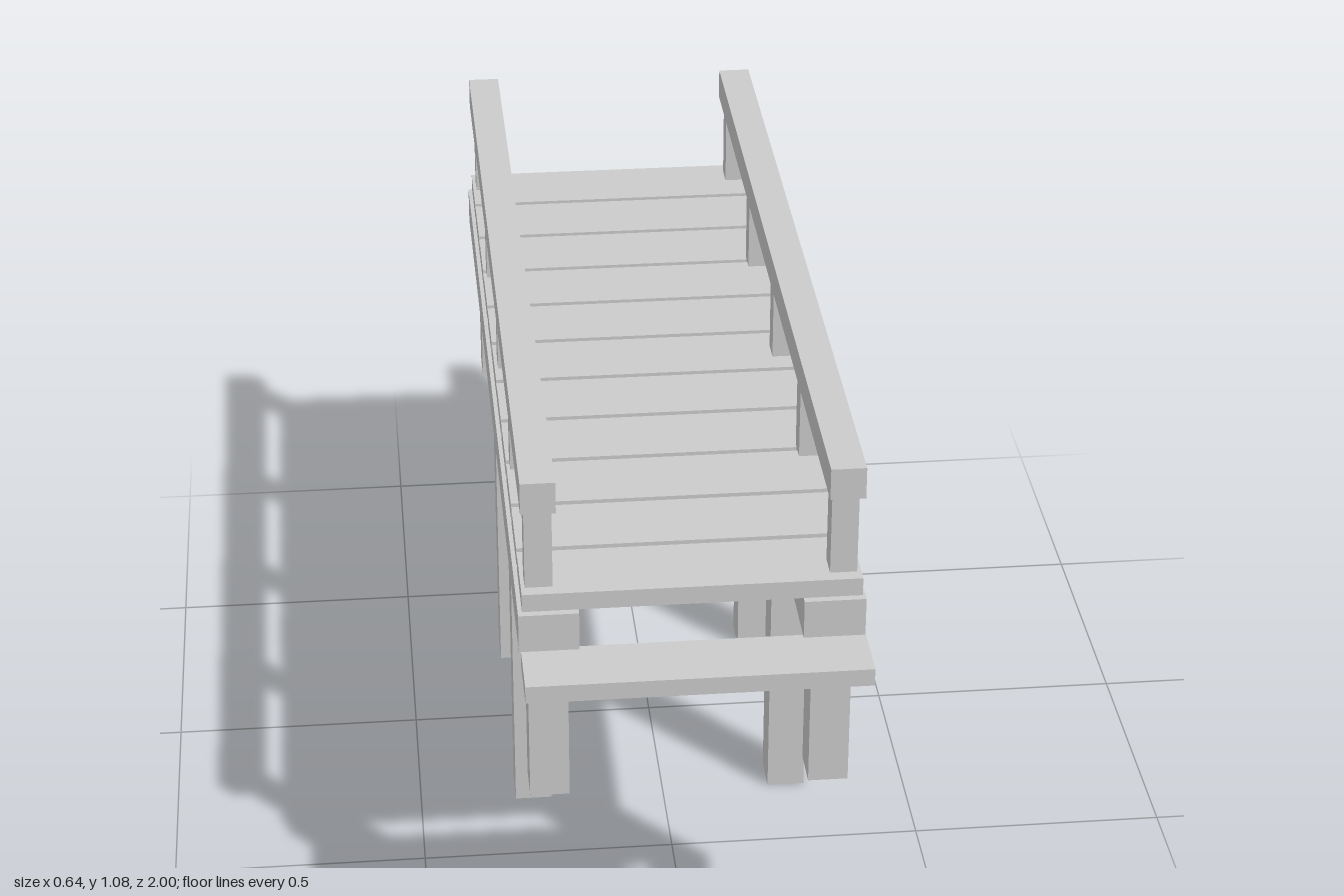
import * as THREE from 'three';

const material = new THREE.MeshStandardMaterial({ color: 0xcccccc, flatShading: true });

// Axis-aligned timber given by its lower and upper limits
function timber(parent, name, [x0, x1], [y0, y1], [z0, z1]) {
  const mesh = new THREE.Mesh(new THREE.BoxGeometry(x1 - x0, y1 - y0, z1 - z0), material);
  mesh.position.set((x0 + x1) / 2, (y0 + y1) / 2, (z0 + z1) / 2);
  mesh.name = name;
  parent.add(mesh);
}

function section(parent, name) {
  const group = new THREE.Group();
  group.name = name;
  parent.add(group);
  return group;
}

export function createModel() {
  const bridge = new THREE.Group();
  bridge.name = 'woodenFootbridge';

  // Deck planks with narrow gaps
  const deck = section(bridge, 'deck');
  const pitch = 0.1643, plankDepth = 0.151;
  for (let i = 0; i < 11; i++) {
    const front = 0.869 - i * pitch;
    timber(deck, 'plank', [-0.313, 0.311], [0.807, 0.843], [front - plankDepth, front]);
  }

  // Each side: beam, piles, handrail and its posts
  const sides = [
    { name: 'rightSide', beam: [-0.321, -0.21], pile: [-0.305, -0.231], post: [-0.306, -0.255], rail: [-0.313, -0.249] },
    { name: 'leftSide', beam: [0.202, 0.316], pile: [0.219, 0.294], post: [0.253, 0.303], rail: [0.245, 0.31] },
  ];
  for (const s of sides) {
    const side = section(bridge, s.name);
    timber(side, 'beam', s.beam, [0.73, 0.807], [-0.928, 0.883]);
    timber(side, 'handrail', s.rail, [1.014, 1.077], [-0.921, 0.873]);
    for (const z of [0.82, 0.388, -0.024, -0.435, -0.869])
      timber(side, 'railPost', s.post, [0.824, 1.014], [z - 0.024, z + 0.024]);
    for (const z of [0.832, -0.829])
      timber(side, 'shortPile', s.pile, [0.403, 0.73], [z - 0.04, z + 0.04]);
    for (const z of [0.27, -0.266])
      timber(side, 'tallPile', s.pile, [0, 0.73], [z - 0.04, z + 0.04]);
  }

  // Step boards under the beam ends
  timber(bridge, 'frontStep', [-0.317, 0.317], [0.695, 0.73], [0.873, 1]);
  timber(bridge, 'backStep', [-0.317, 0.317], [0.695, 0.73], [-1, -0.873]);

  return bridge;
}
